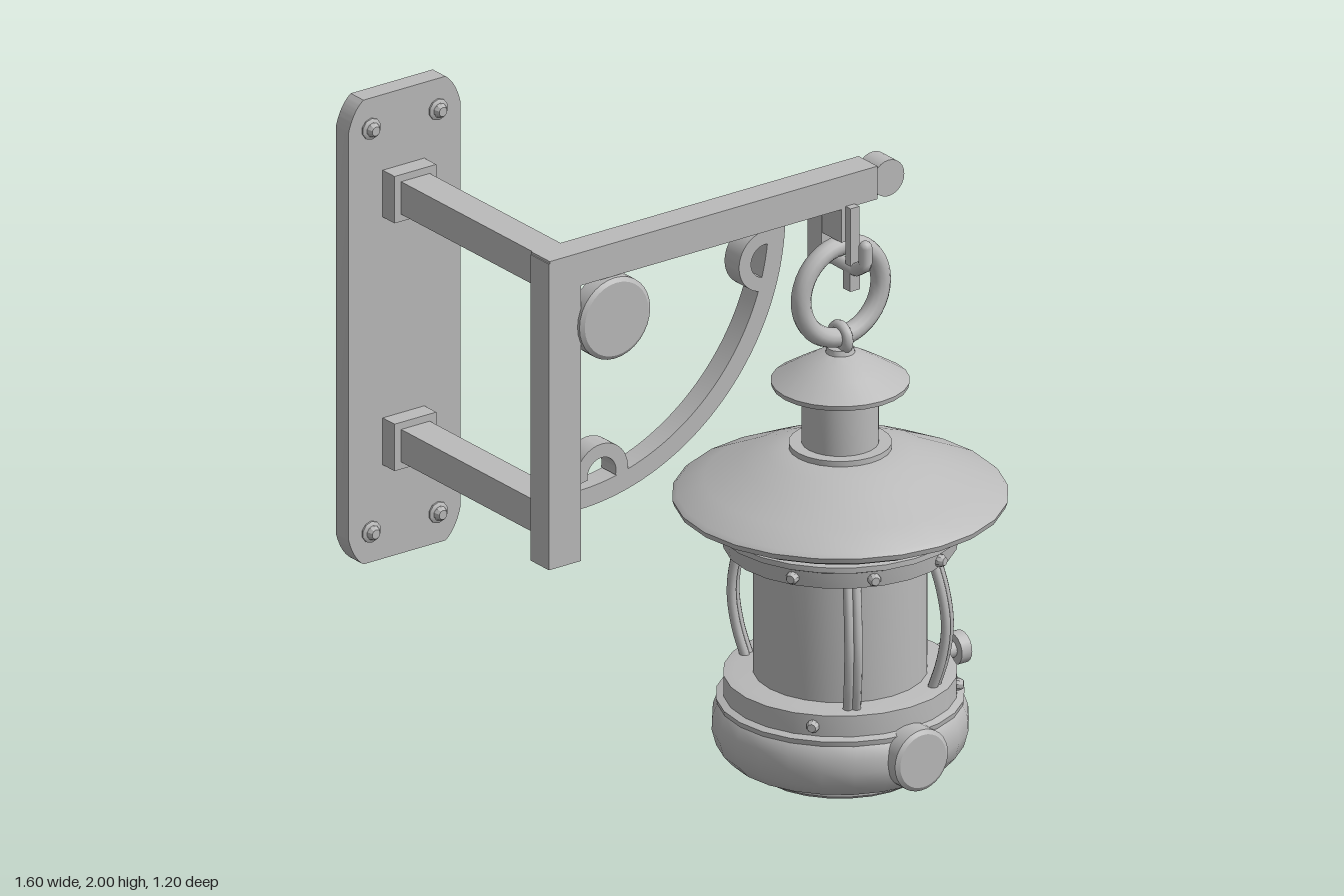
import * as THREE from 'three';
import { toCreasedNormals } from 'three/addons/utils/BufferGeometryUtils.js';

const iron = new THREE.MeshStandardMaterial({ color: 0xbababa });
iron.name = 'grey iron';

const CX = 0.338, CZ = 0.143; // lantern axis

export function createModel() {
  const model = new THREE.Group();
  model.name = 'wallLantern';

  const add = (name, geometry, x = 0, y = 0, z = 0, parent = model) => {
    const mesh = new THREE.Mesh(geometry, iron);
    mesh.name = name;
    mesh.position.set(x, y, z);
    parent.add(mesh);
    return mesh;
  };
  // box given by its extents
  const box = (name, x0, x1, y0, y1, z0, z1) =>
    add(name, new THREE.BoxGeometry(x1 - x0, y1 - y0, z1 - z0), (x0 + x1) / 2, (y0 + y1) / 2, (z0 + z1) / 2);
  const lathe = (points, segments = 24) => toCreasedNormals(
    new THREE.LatheGeometry(points.map(([r, y]) => new THREE.Vector2(r, y)), segments), 0.55);
  // disc with a bevelled front edge, facing +z from z = 0 to depth
  const medallion = (r, depth) => lathe([[0, 0], [r, 0], [r, depth - 0.008], [r - 0.012, depth], [0, depth]], 32).rotateX(Math.PI / 2);
  // domed bolt facing +z
  const bolt = (r, h) => lathe([[0, 0], [r, 0], [r, h * 0.5], [r * 0.65, h], [0, h]], 10).rotateX(Math.PI / 2);
  const extrude = (shape, depth) => toCreasedNormals(
    new THREE.ExtrudeGeometry(shape, { depth, bevelEnabled: false, curveSegments: 20 }), 0.5);

  // Wall plate with rounded corners
  const w = 0.188, h = 0.6825, a = 0.05, b = 0.085;
  const plate = new THREE.Shape();
  plate.moveTo(-w + a, -h);
  plate.lineTo(w - a, -h);
  plate.quadraticCurveTo(w - a * 0.3, -h + b * 0.3, w, -h + b);
  plate.lineTo(w, h - b);
  plate.quadraticCurveTo(w - a * 0.3, h - b * 0.3, w - a, h);
  plate.lineTo(-w + a, h);
  plate.quadraticCurveTo(-w + a * 0.3, h - b * 0.3, -w, h - b);
  plate.lineTo(-w, -h + b);
  plate.quadraticCurveTo(-w + a * 0.3, -h + b * 0.3, -w + a, -h);
  add('wallPlate', extrude(plate, 0.058), -0.617, 1.3175, -0.605);
  for (const x of [-0.73, -0.505]) for (const y of [0.725, 1.91]) {
    add('plateWasher', bolt(0.031, 0.012), x, y, -0.548);
    add('plateBolt', bolt(0.021, 0.026), x, y, -0.548);
  }

  // Sockets and the arms that reach out from the wall
  for (const y of [0.98, 1.7085]) {
    box('armSocket', -0.69, -0.55, y - 0.069, y + 0.069, -0.55, -0.493);
    box('wallArm', -0.668, -0.572, y - 0.048, y + 0.048, -0.5, 0.12);
  }

  // Post, beam and rounded beam end
  box('post', -0.675, -0.567, 0.85, 1.75, 0.105, 0.188);
  box('beam', -0.672, 0.43, 1.66, 1.757, 0.102, 0.188);
  box('beamNeck', 0.42, 0.46, 1.668, 1.745, 0.11, 0.18);
  add('beamEnd', new THREE.CylinderGeometry(0.053, 0.053, 0.073, 24).rotateX(Math.PI / 2), 0.472, 1.709, 0.145);
  add('bracketDisc', medallion(0.119, 0.055), -0.46, 1.54, 0.15);

  // Curved brace and its scrolls, cut from arc bands
  const band = (name, x, y, rOut, rIn, from, to) => {
    const s = new THREE.Shape();
    s.absarc(0, 0, rOut, from, to, false);
    s.absarc(0, 0, rIn, to, from, true);
    s.closePath();
    add(name, extrude(s, 0.066), x, y, 0.112);
  };
  band('brace', -0.57, 1.695, 0.698, 0.642, -Math.PI / 2, -0.04);
  band('upperScroll', 0.06, 1.57, 0.088, 0.048, 1.2, 4.9);
  band('lowerScroll', -0.49, 1.083, 0.088, 0.048, -0.3, 3.3);

  // Hanger and hook
  box('hangerLeg', 0.307, 0.365, 1.465, 1.666, 0.035, 0.1);
  box('hangerBridge', 0.309, 0.363, 1.562, 1.666, 0.095, 0.187);
  box('hangerTab', 0.323, 0.353, 1.48, 1.666, 0.187, 0.21);
  const hookPath = new THREE.CurvePath();
  const hookPoints = [[1.487, 0.07], [1.485, 0.215], [1.512, 0.257], [1.565, 0.257]]
    .map(([y, z]) => new THREE.Vector3(CX, y, z));
  for (let i = 0; i < 3; i++) hookPath.add(new THREE.LineCurve3(hookPoints[i], hookPoints[i + 1]));
  add('hook', new THREE.TubeGeometry(hookPath, 32, 0.019, 10));
  add('hookTip', new THREE.SphereGeometry(0.019, 10, 8), CX, 1.565, 0.257);
  box('hookStop', CX - 0.016, CX + 0.016, 1.422, 1.48, 0.178, 0.21);

  // Carrying ring and the eyelet it passes through
  add('carryRing', new THREE.TorusGeometry(0.134, 0.028, 12, 40), CX, 1.4, CZ + 0.003);
  add('eyelet', new THREE.TorusGeometry(0.034, 0.016, 10, 20).rotateY(Math.PI / 2), CX, 1.262, CZ);

  // Lantern, turned around its own axis
  const lantern = new THREE.Group();
  lantern.name = 'lantern';
  lantern.position.set(CX, 0, CZ);
  model.add(lantern);
  const turned = (name, points) => add(name, lathe(points), 0, 0, 0, lantern);
  turned('fuelTank', [[0, 0.003], [0.23, 0.003], [0.24, 0.012], [0.24, 0.028], [0.262, 0.03], [0.31, 0.048],
    [0.338, 0.08], [0.35, 0.125], [0.348, 0.165], [0.336, 0.198], [0.325, 0.208], [0, 0.208]]);
  turned('lowerBand', [[0, 0.2], [0.335, 0.2], [0.338, 0.215], [0.318, 0.222], [0.318, 0.283], [0.29, 0.288], [0, 0.288]]);
  turned('glass', [[0.237, 0.27], [0.237, 0.68]]);
  turned('upperBand', [[0, 0.658], [0.318, 0.658], [0.325, 0.705], [0.34, 0.712], [0.34, 0.728],
    [0.318, 0.733], [0.315, 0.75], [0.335, 0.757], [0.335, 0.775], [0, 0.775]]);
  turned('roof', [[0, 0.768], [0.41, 0.768], [0.452, 0.788], [0.457, 0.804], [0.445, 0.815], [0.37, 0.851],
    [0.27, 0.898], [0.2, 0.926], [0.16, 0.937], [0.14, 0.94], [0.14, 0.956], [0, 0.956]]);
  turned('chimney', [[0.105, 0.945], [0.105, 1.14]]);
  turned('chimneyCap', [[0, 1.124], [0.186, 1.124], [0.189, 1.138], [0.125, 1.178], [0.075, 1.207],
    [0.04, 1.22], [0.036, 1.235], [0, 1.24]]);

  // Bowed guard bars, each a pair of rods
  for (const sx of [-1, 1]) for (const sz of [-1, 1]) {
    const bar = new THREE.Group();
    bar.name = 'guardBar';
    bar.rotation.y = Math.atan2(sx * 0.5, sz * 0.866);
    lantern.add(bar);
    const path = new THREE.CatmullRomCurve3([[0.27, 0.265], [0.303, 0.37], [0.316, 0.47], [0.303, 0.57], [0.27, 0.68]]
      .map(([r, y]) => new THREE.Vector3(0, y, r)));
    for (const x of [-0.011, 0.011])
      add('guardRod', new THREE.TubeGeometry(path, 20, 0.014, 8), x, 0, 0, bar);
  }

  // Band rivets
  const rivet = (degrees, r, y) => {
    const t = THREE.MathUtils.degToRad(degrees);
    add('rivet', bolt(0.018, 0.024), r * Math.sin(t), y, r * Math.cos(t), lantern).rotation.y = t;
  };
  for (const d of [-60, -20, 20, 60]) rivet(d, 0.316, 0.682);
  for (const d of [-50, 50]) rivet(d, 0.31, 0.25);

  // Wick knob on the side and filler cap on the front
  add('wickStem', new THREE.CylinderGeometry(0.024, 0.024, 0.12, 12).rotateZ(Math.PI / 2), 0.345, 0.25, 0, lantern);
  add('wickKnob', new THREE.CylinderGeometry(0.046, 0.046, 0.034, 20).rotateZ(Math.PI / 2), 0.393, 0.25, 0, lantern);
  add('fillerCap', medallion(0.089, 0.1), 0, 0.145, 0.277, lantern);

  return model;
}
